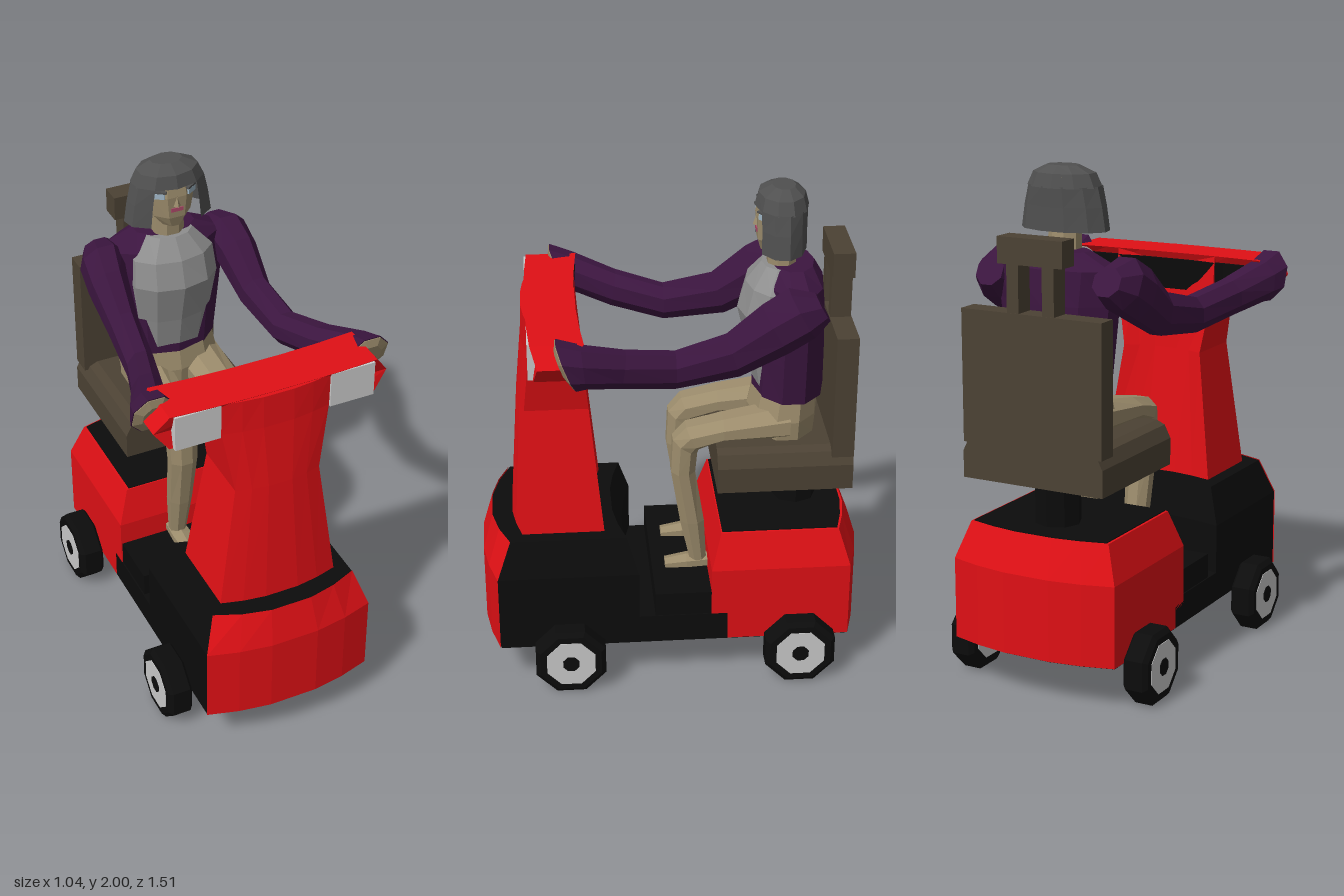
import * as THREE from 'three';

const mat = (color) => new THREE.MeshStandardMaterial({ color, flatShading: true, side: THREE.DoubleSide });
const RED = mat(0xe01015), BLACK = mat(0x0c0c0c), SILVER = mat(0xbcbcbc), SEAT = mat(0x4c4234),
  JACKET = mat(0x3c1640), SHIRT = mat(0x8e8e8e), SKIN = mat(0x9c8c6c), HAIR = mat(0x505050),
  EYE = mat(0x9db4c4), LIPS = mat(0xb04a6a);
const CX = -0.01; // the vehicle's centre line
const FLAT = Math.PI / 2; // tilt of a horizontal ring

const add = (parent, name, geometry, material, x = 0, y = 0, z = 0) => {
  const m = new THREE.Mesh(geometry, material);
  m.name = name;
  m.position.set(x, y, z);
  parent.add(m);
  return m;
};
const box = (parent, name, material, w, h, d, x, y, z) =>
  add(parent, name, new THREE.BoxGeometry(w, h, d), material, x, y, z);

// Skin over a list of equal-length rings; closed solids get end caps and outward faces
function loft(rings, closed = true) {
  const n = rings[0].length, pos = rings.flat(2), idx = [];
  for (let i = 0; i < rings.length - 1; i++)
    for (let j = 0; j < (closed ? n : n - 1); j++) {
      const a = i * n + j, b = i * n + (j + 1) % n;
      idx.push(a, b, b + n, a, b + n, a + n);
    }
  if (closed) {
    [[0, 1], [rings.length - 1, -1]].forEach(([r, dir]) => {
      const c = pos.length / 3;
      for (let k = 0; k < 3; k++) pos.push(rings[r].reduce((s, p) => s + p[k], 0) / n);
      for (let j = 0; j < n; j++) {
        const a = r * n + j, b = r * n + (j + 1) % n;
        idx.push(c, dir > 0 ? b : a, dir > 0 ? a : b);
      }
    });
    // Turn the faces when the enclosed volume is negative
    const v = (i) => new THREE.Vector3().fromArray(pos, i * 3);
    const o = v(0);
    let vol = 0;
    for (let i = 0; i < idx.length; i += 3)
      vol += v(idx[i]).sub(o).dot(v(idx[i + 1]).sub(o).cross(v(idx[i + 2]).sub(o)));
    if (vol < 0) idx.reverse();
  }
  const g = new THREE.BufferGeometry();
  g.setAttribute('position', new THREE.Float32BufferAttribute(pos, 3));
  g.setIndex(idx);
  g.computeVertexNormals();
  return g;
}

// Elliptical ring: tilt 0 stands upright facing z, FLAT lies horizontal
const ring = (n, [x, y, z, a, b, tilt = FLAT]) => Array.from({ length: n }, (_, i) => {
  const t = (i + 0.5) / n * Math.PI * 2;
  return [x + a * Math.cos(t), y + b * Math.sin(t) * Math.cos(tilt), z + b * Math.sin(t) * Math.sin(tilt)];
});
const body = (n, sections) => loft(sections.map((s) => ring(n, s)));

// Bodywork: each level is [y, half width, front z, back z, front bulge, back bulge]
const U = [-1, -0.65, -0.28, 0.28, 0.65, 1];
const bow = (y, w, z, bulge) => U.map((u) => [CX + u * w, y, z + bulge * (1 - u * u)]);
const slab = (levels) => loft(levels.map(([y, w, f, b, bf = 0, bb = 0]) =>
  [...bow(y, w, f, bf), ...bow(y, w, b, bb).reverse()]));

function buildWheel(parent, x, z) {
  const wheel = new THREE.Group();
  wheel.name = 'wheel';
  const profile = [[0, -0.052], [0.132, -0.052], [0.152, -0.036], [0.152, 0.036], [0.132, 0.052], [0, 0.052]];
  const tyre = new THREE.LatheGeometry(profile.map((p) => new THREE.Vector2(...p)), 8);
  const disc = (r, h) => new THREE.CylinderGeometry(r, r, h, 8);
  [['tyre', tyre, BLACK], ['hub', disc(0.105, 0.108), SILVER], ['axleCap', disc(0.035, 0.114), BLACK]]
    .forEach(([name, g, m]) => add(wheel, name, g.rotateY(Math.PI / 8).rotateZ(Math.PI / 2), m));
  wheel.position.set(x, 0.14, z);
  parent.add(wheel);
}

function buildScooter(g) {
  // Front hull with its red nose panel
  add(g, 'frontHull', slab([[0.18, 0.35, 0.7, 0.145, 0.06, 0.05], [0.5, 0.35, 0.7, 0.145, 0.06, 0.05],
    [0.645, 0.3, 0.645, 0.19, 0.075, 0.05]]), BLACK);
  add(g, 'nosePanel', loft([bow(0.18, 0.352, 0.704, 0.06), bow(0.5, 0.352, 0.704, 0.06),
    bow(0.647, 0.302, 0.649, 0.075)], false), RED);

  // Rear hull with black deck
  add(g, 'rearHull', slab([[0.18, 0.35, -0.145, -0.7, 0, -0.06], [0.5, 0.35, -0.145, -0.7, 0, -0.06],
    [0.645, 0.3, -0.185, -0.655, 0, -0.05]]), RED);
  add(g, 'rearDeck', slab([[0.64, 0.29, -0.19, -0.65, 0, -0.045], [0.649, 0.29, -0.19, -0.65, 0, -0.045]]), BLACK);

  // Floor, footrest and underside
  box(g, 'floor', BLACK, 0.7, 0.12, 0.42, CX, 0.24, 0);
  box(g, 'footrest', BLACK, 0.69, 0.22, 0.235, CX, 0.29, -0.0375);
  add(g, 'underside', slab([[0.175, 0.345, 0.69, -0.69, 0.06, -0.06], [0.182, 0.345, 0.69, -0.69, 0.06, -0.06]]), BLACK);

  // Steering column and handlebar
  add(g, 'steeringColumn', slab([[0.645, 0.245, 0.6, 0.275, 0.04, 0.04], [1.16, 0.175, 0.575, 0.325, 0.03, 0.04],
    [1.42, 0.22, 0.55, 0.35, 0.03, 0.03], [1.555, 0.222, 0.55, 0.36, 0.025, 0.025]]), RED);
  add(g, 'handlebar', slab([[1.41, 0.42, 0.535, 0.36, 0.015, 0.02], [1.482, 0.475, 0.52, 0.4],
    [1.557, 0.42, 0.545, 0.345, 0.015, 0.02]]), RED);
  add(g, 'handlebarLining', slab([[1.405, 0.4, 0.52, 0.355, 0, 0.02], [1.53, 0.4, 0.52, 0.345, 0, 0.02]]), BLACK);
  for (const s of [-1, 1]) {
    box(g, 'headlight', SILVER, 0.182, 0.145, 0.05, CX + s * 0.314, 1.4825, 0.53);
    for (const z of [0.425, -0.5]) buildWheel(g, -0.022 + s * 0.385, z);
  }
}

function buildSeat(g) {
  add(g, 'seatPost', new THREE.CylinderGeometry(0.09, 0.09, 0.2, 8), BLACK, CX, 0.74, -0.51);
  const outline = [[-0.3, 0.83], [0.3, 0.83], [0.3, 0.935], [0.275, 0.985], [0.24, 1], [-0.24, 1], [-0.275, 0.985], [-0.3, 0.935]];
  add(g, 'cushion', loft([-0.168, -0.7].map((z) => outline.map(([x, y]) => [CX + x, y, z]))), SEAT);
  box(g, 'backrest', SEAT, 0.595, 0.51, 0.085, CX, 1.225, -0.6575);
  box(g, 'headrest', SEAT, 0.275, 0.1, 0.085, CX, 1.71, -0.6575);
  for (const s of [-1, 1]) box(g, 'headrestPost', SEAT, 0.05, 0.2, 0.08, CX + s * 0.075, 1.57, -0.6575);
}

function buildRider(g) {
  // Trunk
  add(g, 'hips', body(10, [[0, 1, -0.45, 0.2, 0.135], [0, 1.08, -0.45, 0.21, 0.14], [0, 1.17, -0.46, 0.195, 0.13]]), SKIN);
  add(g, 'jacket', body(10, [[0, 1.16, -0.47, 0.205, 0.142], [0, 1.33, -0.47, 0.225, 0.142], [0, 1.5, -0.47, 0.245, 0.138],
    [0, 1.63, -0.48, 0.26, 0.115], [0, 1.69, -0.475, 0.13, 0.085]]), JACKET);
  add(g, 'shirt', body(10, [[0, 1.162, -0.43, 0.15, 0.095], [0, 1.33, -0.41, 0.165, 0.105], [0, 1.5, -0.39, 0.185, 0.125],
    [0, 1.61, -0.405, 0.175, 0.11], [0, 1.688, -0.43, 0.1, 0.075]]), SHIRT);

  // Head and face
  add(g, 'neck', body(8, [[0, 1.65, -0.435, 0.07, 0.06], [0, 1.8, -0.425, 0.06, 0.055]]), SKIN);
  add(g, 'head', body(8, [[0, 1.745, -0.4, 0.045, 0.055], [0, 1.79, -0.415, 0.085, 0.085], [0, 1.88, -0.425, 0.105, 0.1],
    [0, 1.96, -0.43, 0.095, 0.09]]), SKIN);
  add(g, 'nose', new THREE.ConeGeometry(0.016, 0.05, 4), SKIN, 0, 1.865, -0.335);
  box(g, 'mouth', LIPS, 0.05, 0.016, 0.02, 0, 1.826, -0.341);
  for (const s of [-1, 1]) {
    box(g, 'eye', EYE, 0.046, 0.022, 0.03, s * 0.062, 1.89, -0.36).rotation.y = s * 0.6;
    box(g, 'eyebrow', HAIR, 0.056, 0.008, 0.03, s * 0.062, 1.908, -0.357).rotation.y = s * 0.6;
  }

  // Hair: a crown, and a curtain left open at the face
  add(g, 'hairCrown', body(10, [[0, 1.92, -0.428, 0.15, 0.104], [0, 1.972, -0.428, 0.125, 0.09], [0, 2, -0.435, 0.065, 0.045]]), HAIR);
  const curtain = [[1.76, 0.182, 0.1], [1.85, 0.168, 0.1], [1.925, 0.15, 0.102]].map(([y, a, b]) =>
    Array.from({ length: 10 }, (_, i) => {
      const t = 0.62 + i / 9 * (Math.PI * 2 - 1.24);
      return [a * Math.sin(t), y, -0.425 + b * Math.cos(t)];
    }));
  add(g, 'hairCurtain', loft(curtain, false), HAIR);

  // Limbs, mirrored
  for (const s of [-1, 1]) {
    const limb = (name, n, m, sections) => add(g, name, body(n, sections.map(([x, ...rest]) => [s * x, ...rest])), m);
    limb('sleeve', 8, JACKET, [[0.25, 1.6, -0.56, 0.06, 0.06, 0.5], [0.265, 1.585, -0.48, 0.09, 0.11, 0.5],
      [0.28, 1.53, -0.38, 0.08, 0.11, 0.5], [0.285, 1.43, -0.22, 0.062, 0.09, 0.3], [0.31, 1.39, 0, 0.06, 0.075, 0],
      [0.37, 1.43, 0.2, 0.066, 0.075, -0.15], [0.43, 1.475, 0.35, 0.078, 0.085, 0.1], [0.44, 1.49, 0.415, 0.088, 0.108, 0.36]]);
    limb('hand', 8, SKIN, [[0.44, 1.49, 0.4, 0.08, 0.1, 0.36], [0.44, 1.49, 0.419, 0.085, 0.103, 0.36],
      [0.44, 1.49, 0.435, 0.05, 0.065, 0.36]]);
    limb('leg', 8, SKIN, [[0.115, 1.06, -0.46, 0.1, 0.075, 0], [0.125, 1.04, -0.2, 0.092, 0.05, 0],
      [0.125, 1.005, -0.08, 0.08, 0.06, 0.45], [0.12, 0.965, -0.052, 0.068, 0.062, 1], [0.12, 0.85, -0.045, 0.062, 0.052],
      [0.12, 0.62, -0.082, 0.052, 0.052], [0.12, 0.43, -0.108, 0.036, 0.036]]);
    limb('foot', 6, SKIN, [[0.12, 0.425, -0.145, 0.04, 0.028, 0], [0.12, 0.423, -0.06, 0.046, 0.027, 0],
      [0.12, 0.416, 0.027, 0.036, 0.016, 0]]);
  }
}

export function createModel() {
  const model = new THREE.Group();
  model.name = 'mobilityScooterWithRider';
  [['scooter', buildScooter], ['seat', buildSeat], ['rider', buildRider]].forEach(([name, build]) => {
    const part = new THREE.Group();
    part.name = name;
    build(part);
    model.add(part);
  });
  return model;
}
